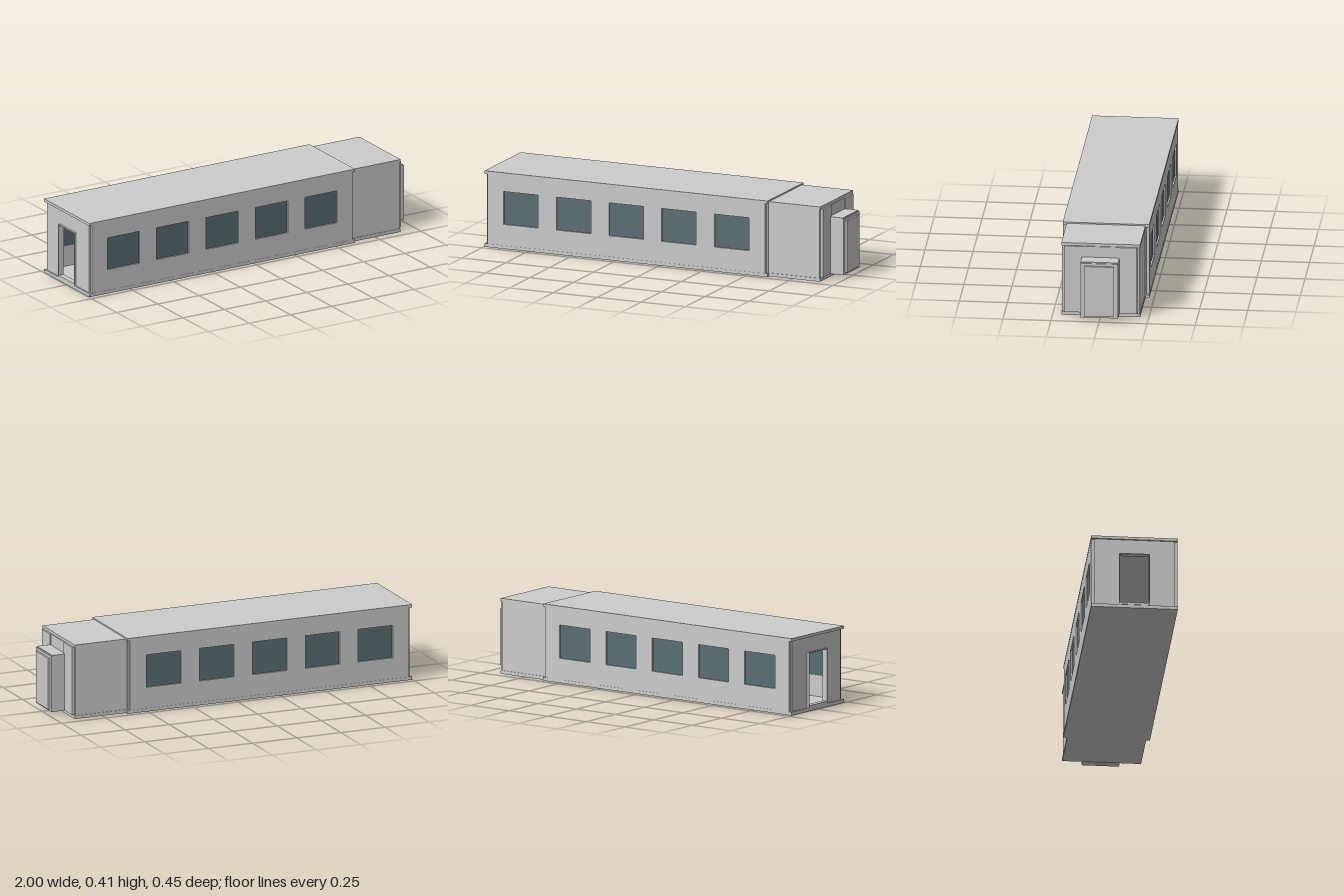
import * as THREE from 'three';

const grey = new THREE.MeshStandardMaterial({ color: 0xcccccc });
const glass = new THREE.MeshStandardMaterial({ color: 0x5a6e73 });

// Box given by its min and max along each axis
function block(parent, name, [x0, x1], [y0, y1], [z0, z1], material = grey) {
  const mesh = new THREE.Mesh(new THREE.BoxGeometry(x1 - x0, y1 - y0, z1 - z0), material);
  mesh.position.set((x0 + x1) / 2, (y0 + y1) / 2, (z0 + z1) / 2);
  mesh.name = name;
  parent.add(mesh);
  return mesh;
}

// Upright panel in the XY plane with rectangular openings, each [u0, u1, v0, v1]
function panel(parent, name, [u0, u1, v0, v1], holes, depth) {
  const trace = (path, a, b, c, d) =>
    path.moveTo(a, c).lineTo(b, c).lineTo(b, d).lineTo(a, d).closePath();
  const shape = new THREE.Shape();
  trace(shape, u0, u1, v0, v1);
  for (const h of holes) {
    const hole = new THREE.Path();
    trace(hole, ...h);
    shape.holes.push(hole);
  }
  const mesh = new THREE.Mesh(
    new THREE.ExtrudeGeometry(shape, { depth, bevelEnabled: false }), grey);
  mesh.name = name;
  parent.add(mesh);
  return mesh;
}

// Panel turned to lie across the car, starting at x
function crossPanel(parent, name, outline, holes, x, depth) {
  const mesh = panel(parent, name, outline, holes, depth);
  mesh.rotation.y = Math.PI / 2;
  mesh.position.x = x;
  return mesh;
}

export function createModel() {
  const model = new THREE.Group();
  model.name = 'railCar';

  // Main saloon
  const saloon = new THREE.Group();
  saloon.name = 'saloon';
  model.add(saloon);
  block(saloon, 'saloonFloor', [-0.997, 0.615], [0, 0.018], [-0.225, 0.225]);
  block(saloon, 'saloonRoof', [-0.997, 0.615], [0.39, 0.405], [-0.225, 0.225]);

  const windows = [];
  for (let i = 0; i < 5; i++) {
    const c = -0.79 + i * 0.3;
    windows.push([c - 0.098, c + 0.098, 0.13, 0.305]);
  }
  for (const side of [1, -1]) {
    const wall = panel(saloon, 'sideWall', [-0.98, 0.6, 0.018, 0.39], windows, 0.018);
    wall.position.z = side > 0 ? 0.206 : -0.224;
    for (const [a, b, c, d] of windows) {
      block(saloon, 'windowPane', [a, b], [c, d],
        [side * 0.213 - 0.003, side * 0.213 + 0.003], glass);
    }
  }

  // End walls with doorways, set in from the corners
  const doorway = [-0.075, 0.075, 0.03, 0.305];
  for (const x of [-0.989, 0.596]) {
    crossPanel(saloon, 'endWall', [-0.208, 0.208, 0.018, 0.39], [doorway], x, 0.013);
  }
  crossPanel(saloon, 'doorFrame', [-0.08, 0.08, 0.018, 0.31], [doorway], -1, 0.03);

  // Narrower vestibule
  const vestibule = new THREE.Group();
  vestibule.name = 'vestibule';
  model.add(vestibule);
  block(vestibule, 'vestibuleFloor', [0.605, 0.905], [0, 0.018], [-0.205, 0.205]);
  block(vestibule, 'vestibuleRoof', [0.605, 0.905], [0.383, 0.398], [-0.205, 0.205]);
  for (const s of [1, -1]) {
    const span = (a, b) => (s > 0 ? [a, b] : [-b, -a]);
    block(vestibule, 'vestibuleWall', [0.605, 0.9], [0.018, 0.383], span(0.188, 0.202));
    block(vestibule, 'endPanel', [0.9, 0.915], [0.02, 0.383], span(0.086, 0.19));
  }
  block(vestibule, 'endHeader', [0.895, 0.91], [0.31, 0.383], [-0.086, 0.086]);

  // Projecting gangway and its door
  const gangway = new THREE.Group();
  gangway.name = 'gangway';
  model.add(gangway);
  block(gangway, 'gangwayHousing', [0.9, 0.99], [0.02, 0.318], [-0.098, 0.098]);
  block(gangway, 'gangwayCap', [0.91, 0.985], [0.318, 0.324], [-0.098, 0.098]);
  block(gangway, 'gangwayDoor', [0.988, 1], [0.03, 0.304], [-0.078, 0.078]);

  return model;
}
